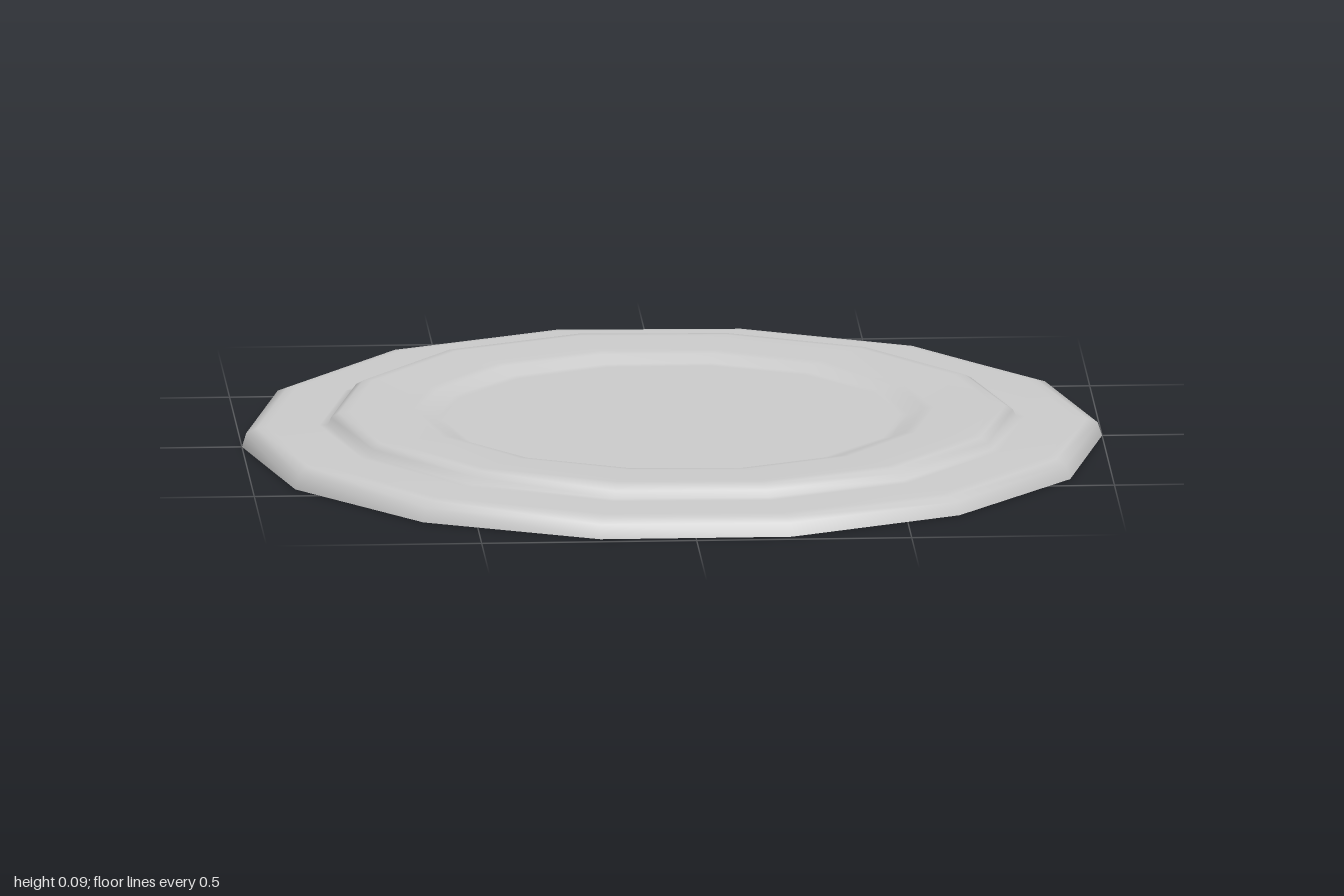
import * as THREE from 'three';
import { mergeVertices } from 'three/addons/utils/BufferGeometryUtils.js';

const SIDES = 14;

// radius, height, amount of hand-worked unevenness
const PROFILE = [
  [1.0, 0.0, 0], [0.99, 0.032, 0.5], [0.965, 0.043, 1], [0.94, 0.046, 1],
  [0.82, 0.048, 0.6], [0.8, 0.05, 0.6], [0.793, 0.066, 0.8], [0.775, 0.077, 1], [0.75, 0.079, 1],
  [0.61, 0.075, 0.8], [0.585, 0.072, 0.8], [0.55, 0.058, 0.2], [0.53, 0.056, 0], [0, 0.056, 0],
];

// gentle rise and fall around the rims
const wave = (a) => 0.003 * Math.sin(3 * a + 0.6) + 0.002 * Math.sin(5 * a) - 0.003 * Math.cos(a);

export function createModel() {
  const group = new THREE.Group();
  group.name = 'steppedDisc';

  // open shell: outer rim, raised ring and recessed centre
  const points = PROFILE.map(([r, y]) => new THREE.Vector2(r, y));
  let geometry = new THREE.LatheGeometry(points, SIDES, Math.PI / 2);
  const pos = geometry.attributes.position;
  for (let i = 0; i < pos.count; i++) {
    const amount = PROFILE[i % PROFILE.length][2];
    const angle = Math.atan2(pos.getZ(i), pos.getX(i));
    pos.setY(i, pos.getY(i) + amount * wave(angle));
  }

  // weld the seam for smooth shading all round
  geometry.deleteAttribute('normal');
  geometry.deleteAttribute('uv');
  geometry = mergeVertices(geometry, 1e-4);
  geometry.computeVertexNormals();

  const material = new THREE.MeshStandardMaterial({ color: 0xcccccc, side: THREE.DoubleSide });
  const shell = new THREE.Mesh(geometry, material);
  shell.name = 'discShell';
  group.add(shell);
  return group;
}
